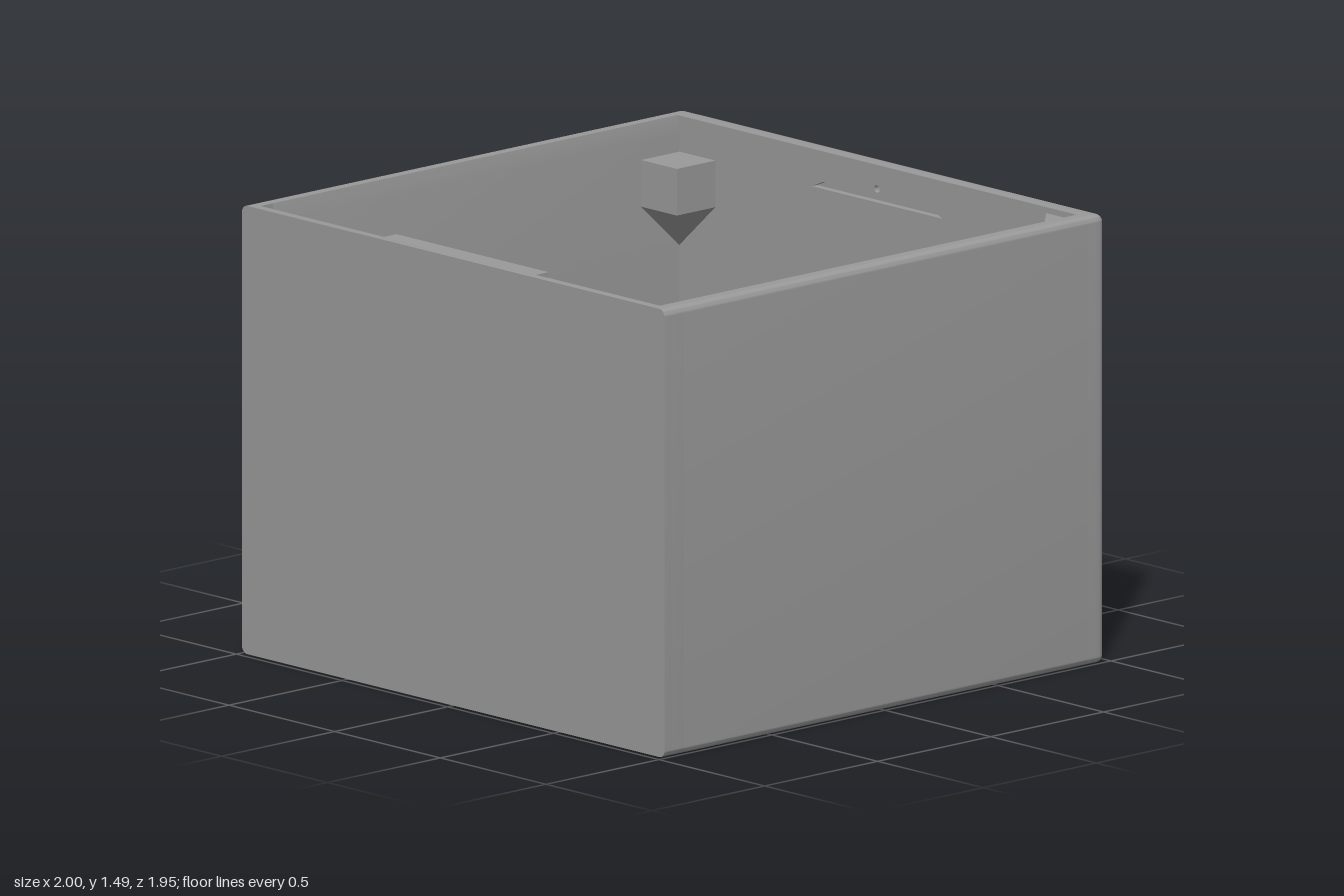
import * as THREE from 'three';
import { toCreasedNormals } from 'three/addons/utils/BufferGeometryUtils.js';

const H = 1.49, R = 0.025, D = 0.975;      // height, edge radius, half depth
const IN_X = 0.935, IN_BACK = -0.9, IN_FRONT = 0.89, RIM = 0.945;

// Rounded outer outline; `top` lists [x, y] points of the right half of the upper contour
function outline(top = []) {
  const s = new THREE.Shape(), q = Math.PI / 2, c = 1 - R;
  s.absarc(-c, H - R, R, q, 2 * q);
  s.absarc(-c, R, R, 2 * q, 3 * q);
  s.absarc(c, R, R, 3 * q, 4 * q);
  s.absarc(c, H - R, R, 0, q);
  top.forEach(([x, y]) => s.lineTo(x, y));
  [...top].reverse().forEach(([x, y]) => s.lineTo(-x, y));
  s.closePath();
  return s;
}

// Closed path from a half profile mirrored about x = cx
function mirrored(half, cx = 0) {
  const right = half.map(([x, y]) => new THREE.Vector2(cx + x, y));
  const left = half.filter(([x]) => x > 0).reverse().map(([x, y]) => new THREE.Vector2(cx - x, y));
  return new THREE.Path([...right, ...left]);
}

// Half circle points, angle measured from straight up
function arc(cy, r, t0, t1, n = 14) {
  return Array.from({ length: n + 1 }, (_, i) => {
    const t = t0 + (t1 - t0) * i / n;
    return [Math.max(0, r * Math.sin(t)), cy + r * Math.cos(t)];
  });
}

function slab(shape, z0, z1) {
  const g = new THREE.ExtrudeGeometry(shape, { depth: z1 - z0, bevelEnabled: false, curveSegments: 5 });
  return g.translate(0, 0, z0);
}

export function createModel() {
  const group = new THREE.Group();
  const grey = new THREE.MeshStandardMaterial({ color: 0x999999 });
  grey.name = 'grey';
  const add = (name, geometry) => {
    const mesh = new THREE.Mesh(toCreasedNormals(geometry, 0.6), grey);
    mesh.name = name;
    group.add(mesh);
  };

  // Side walls and floor, with a slightly flared opening
  add('sidesAndFloor', slab(outline([[RIM, H], [IN_X, 1.43], [IN_X, 0.06]]), IN_BACK, IN_FRONT));

  const groove = () => mirrored([[0.31, 1.385], [0.25, 1.415]]);
  const pinHole = () => new THREE.Path().absarc(0, 1.41, 0.013, 0, Math.PI * 2);

  // Front wall: plain outer skin, inner layer with the zigzag-topped recess
  add('frontWall', slab(outline(), RIM, D));
  const inner = outline([[RIM, H], [RIM, 1.41], [0.36, 1.41], [0.36, H]]);
  const crown = [[0, 1.165], [0.13, 1.285], [0.265, 1.165], [0.4, 1.285], [0.54, 1.165], [0.54, 0.21]];
  inner.holes.push(mirrored(crown), groove());
  add('frontWallLining', slab(inner, IN_FRONT, RIM));

  // Sloping lead-ins on both sides of the front rim
  for (const x of [0.36, -RIM]) {
    const tri = new THREE.Shape([[-RIM, 1.41], [-IN_FRONT, 1.41], [-RIM, H]].map(p => new THREE.Vector2(...p)));
    add('rimSlope', slab(tri, 0, RIM - 0.36).rotateY(Math.PI / 2).translate(x, 0, 0));
  }

  // Back wall lining with the catch groove
  const lining = outline();
  lining.holes.push(mirrored([[0.31, 1.365], [0.25, 1.39]]), pinHole());
  add('backWallLining', slab(lining, -0.925, IN_BACK));

  // Back wall with a decorative hanging recess and rounded outer edges
  const back = outline();
  const half = [
    [0, 1.32], [0.08, 1.105], [0.03, 1.105],
    ...arc(0.9, 0.13, Math.asin(0.03 / 0.13), Math.PI - Math.asin(0.03 / 0.13)),
    ...arc(0.6, 0.1, Math.asin(0.3), Math.PI - Math.asin(0.4)),
    ...arc(0.235, 0.09, 1.45, Math.PI, 10),
  ];
  back.holes.push(mirrored(half, 0.64), pinHole());
  const bg = new THREE.ExtrudeGeometry(back, { depth: 5, steps: 5, bevelEnabled: false, curveSegments: 5 });
  const p = bg.attributes.position;
  for (let i = 0; i < p.count; i++) {
    const step = p.getZ(i);
    if (step > 4.5) { p.setZ(i, -0.925); continue; }
    const a = (4 - step) / 4 * Math.PI / 2, k = Math.max(0.02, Math.cos(a));
    const x = p.getX(i), y = p.getY(i);
    const cx = THREE.MathUtils.clamp(x, R - 1, 1 - R), cy = THREE.MathUtils.clamp(y, R, H - R);
    p.setXYZ(i, cx + (x - cx) * k, cy + (y - cy) * k, -D + R - R * Math.sin(a));
  }
  add('backWall', bg);

  // Corner posts tapering down into the wall corners
  const w = 0.17;
  for (const sx of [-1, 1]) for (const sz of [-1, 1]) {
    const g = new THREE.BoxGeometry(w, 0.31, w, 1, 2, 1);
    const v = g.attributes.position;
    for (let i = 0; i < v.count; i++) {
      if (v.getY(i) < -0.1) { v.setX(i, sx * w / 2); v.setZ(i, sz * w / 2); }
    }
    const wall = sz > 0 ? IN_FRONT : IN_BACK;
    add('cornerPost', g.translate(sx * (IN_X - w / 2), 1.215, wall - sz * w / 2));
  }

  // Small triangular stop on the back left post
  const stop = new THREE.Shape([[IN_X, 0.9], [0.8, 0.9], [IN_X, 0.765]].map(q => new THREE.Vector2(...q)));
  add('cornerStop', slab(stop, 0, 0.1).rotateX(-Math.PI / 2).translate(0, 1.37, 0));

  return group;
}
